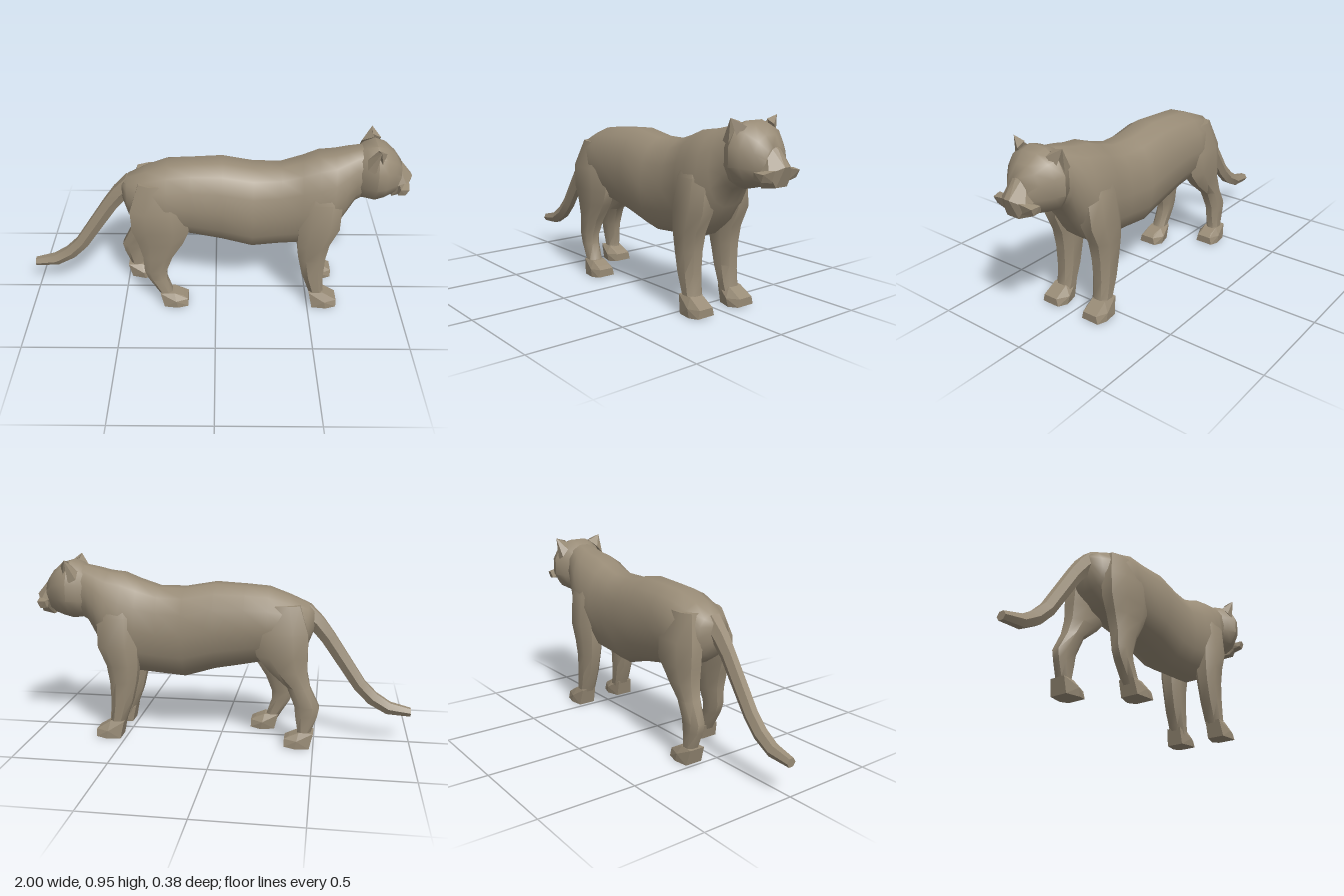
import * as THREE from 'three';
import { toCreasedNormals } from 'three/addons/utils/BufferGeometryUtils.js';
import { ConvexGeometry } from 'three/addons/geometries/ConvexGeometry.js';

const fur = new THREE.MeshStandardMaterial({ color: 0x988b76 });
fur.name = 'tawnyFur';

// Skin through rings; each ring is { c: centre, u, v: half-axes } with u x v along the path
function loft(rings, sides, power = 1) {
  const pos = [], idx = [];
  const bend = (t) => Math.sign(t) * Math.pow(Math.abs(t), power);
  for (const { c, u, v } of rings) {
    for (let j = 0; j < sides; j++) {
      const a = ((j + 0.5) / sides) * Math.PI * 2;
      const p = c.clone().addScaledVector(u, bend(Math.cos(a))).addScaledVector(v, bend(Math.sin(a)));
      pos.push(p.x, p.y, p.z);
    }
  }
  const last = rings.length - 1;
  for (let i = 0; i < last; i++) {
    for (let j = 0; j < sides; j++) {
      const k = (j + 1) % sides, a = i * sides, d = a + sides;
      idx.push(a + j, a + k, d + k, a + j, d + k, d + j);
    }
  }
  for (let j = 1; j < sides - 1; j++) {
    idx.push(0, j + 1, j, last * sides, last * sides + j, last * sides + j + 1);
  }
  const geo = new THREE.BufferGeometry();
  geo.setAttribute('position', new THREE.Float32BufferAttribute(pos, 3));
  geo.setIndex(idx);
  return toCreasedNormals(geo, 0.75);
}

const V = (x, y, z) => new THREE.Vector3(x, y, z);

// Sections along x: [x, top, bottom, half width]
const alongX = (rows, sides, power) => loft(rows.map(([x, t, b, w]) => (
  { c: V(x, (t + b) / 2, 0), u: V(0, (t - b) / 2, 0), v: V(0, 0, w) })), sides, power);

// Sections going down: [y, back x, front x, inner z, outer z]
const downY = (rows, side) => loft(rows.map(([y, x0, x1, z0, z1]) => (
  { c: V((x0 + x1) / 2, y, side * (z0 + z1) / 2), u: V((x1 - x0) / 2, 0, 0), v: V(0, 0, (z1 - z0) / 2) })), 8, 0.85);

const hull = (points, side = 1) => new ConvexGeometry(points.map(([x, y, z]) => V(x, y, z * side)));

export function createModel() {
  const model = new THREE.Group();
  const add = (name, geo) => {
    const mesh = new THREE.Mesh(geo, fur);
    mesh.name = name;
    model.add(mesh);
  };

  // Trunk from rump to neck
  add('body', alongX([
    [-0.485, 0.71, 0.60, 0.04], [-0.455, 0.74, 0.52, 0.095], [-0.36, 0.78, 0.46, 0.145],
    [-0.25, 0.82, 0.43, 0.168], [-0.13, 0.83, 0.405, 0.158], [0.03, 0.838, 0.375, 0.172],
    [0.19, 0.81, 0.325, 0.165], [0.33, 0.81, 0.335, 0.15], [0.44, 0.845, 0.345, 0.16],
    [0.52, 0.877, 0.355, 0.172], [0.60, 0.885, 0.42, 0.165], [0.66, 0.90, 0.52, 0.14],
    [0.71, 0.91, 0.61, 0.115], [0.78, 0.92, 0.65, 0.10],
  ], 14, 0.9));

  // Skull, then a faceted muzzle with flared lips
  add('head', alongX([
    [0.70, 0.89, 0.65, 0.09], [0.75, 0.925, 0.63, 0.13], [0.80, 0.94, 0.628, 0.16],
    [0.85, 0.925, 0.64, 0.145], [0.90, 0.882, 0.655, 0.10], [0.935, 0.835, 0.67, 0.065],
  ], 12, 0.9));
  add('muzzle', hull([
    [0.90, 0.86, 0.03], [0.90, 0.86, -0.03], [0.945, 0.82, 0], [1.0, 0.75, 0.015], [1.0, 0.75, -0.015],
    [0.965, 0.725, 0.075], [0.965, 0.725, -0.075], [0.97, 0.66, 0.035], [0.97, 0.66, -0.035],
    [0.90, 0.65, 0.05], [0.90, 0.65, -0.05], [0.90, 0.73, 0.08], [0.90, 0.73, -0.08],
  ]));

  for (const side of [1, -1]) {
    const s = side > 0 ? 'left' : 'right';
    add(s + 'Lip', hull([
      [0.985, 0.745, 0.01], [0.925, 0.73, 0.125], [0.97, 0.725, 0.115], [0.915, 0.695, 0.115],
      [0.955, 0.69, 0.11], [0.93, 0.73, 0.03], [0.965, 0.68, 0.04], [0.93, 0.69, 0.04],
    ], side));

    // Ear: an upright shell with two walls around a hollow that faces forward
    add(s + 'EarBack', hull([
      [0.80, 0.952, 0.145], [0.745, 0.89, 0.10], [0.80, 0.925, 0.07], [0.745, 0.85, 0.135],
      [0.785, 0.83, 0.14], [0.80, 0.90, 0.10],
    ], side));
    add(s + 'EarInnerWall', hull([
      [0.80, 0.952, 0.145], [0.795, 0.935, 0.085], [0.84, 0.915, 0.085], [0.82, 0.86, 0.12], [0.80, 0.88, 0.10],
    ], side));

    // Front leg and paw
    add(s + 'FrontLeg', downY([
      [0.78, 0.47, 0.58, 0.03, 0.125], [0.66, 0.43, 0.65, 0.03, 0.175], [0.50, 0.42, 0.645, 0.04, 0.19],
      [0.40, 0.42, 0.60, 0.045, 0.186], [0.31, 0.433, 0.585, 0.055, 0.178], [0.20, 0.46, 0.58, 0.062, 0.174],
      [0.11, 0.495, 0.583, 0.068, 0.17], [0.04, 0.52, 0.60, 0.075, 0.17],
    ], side));

    // Hind leg: the left one steps forward, the right one trails
    add(s + 'HindLeg', downY(side > 0 ? [
      [0.74, -0.40, -0.18, 0.03, 0.13], [0.60, -0.45, -0.14, 0.03, 0.178], [0.48, -0.445, -0.13, 0.04, 0.178],
      [0.40, -0.415, -0.165, 0.05, 0.17], [0.31, -0.39, -0.225, 0.06, 0.168], [0.22, -0.385, -0.26, 0.075, 0.165],
      [0.17, -0.365, -0.26, 0.08, 0.165], [0.09, -0.315, -0.235, 0.085, 0.168], [0.03, -0.28, -0.21, 0.085, 0.17],
    ] : [
      [0.74, -0.42, -0.20, 0.03, 0.13], [0.60, -0.468, -0.16, 0.03, 0.175], [0.48, -0.468, -0.19, 0.04, 0.178],
      [0.40, -0.465, -0.26, 0.05, 0.172], [0.32, -0.48, -0.355, 0.065, 0.17], [0.22, -0.53, -0.395, 0.08, 0.17],
      [0.17, -0.52, -0.40, 0.085, 0.168], [0.09, -0.49, -0.415, 0.09, 0.168], [0.03, -0.47, -0.40, 0.09, 0.17],
    ], side));

    const paw = (name, x, lift) => add(name, hull([
      [x - 0.075, 0.003, 0.085], [x - 0.075, 0.003, 0.18], [x - 0.095, lift, 0.085], [x - 0.095, lift, 0.17],
      [x, 0.003, 0.065], [x, 0.003, 0.19], [x + 0.055, 0.01, 0.08], [x + 0.055, 0.01, 0.18],
      [x + 0.055, 0.05, 0.09], [x + 0.055, 0.05, 0.17], [x + 0.03, 0.065, 0.10], [x + 0.03, 0.065, 0.16],
      [x - 0.02, lift, 0.09], [x - 0.02, lift, 0.165], [x - 0.01, 0.045, 0.06], [x - 0.01, 0.045, 0.19],
    ], side));
    paw(s + 'FrontPaw', 0.60, 0.095);
    paw(s + 'HindPaw', side > 0 ? -0.205 : -0.405, 0.085);
  }

  // Tail sweeping down and back: [x, y, z, half height, half width]
  const tail = [
    [-0.43, 0.70, 0, 0.055, 0.05], [-0.50, 0.635, 0, 0.05, 0.042], [-0.56, 0.56, 0, 0.045, 0.034],
    [-0.73, 0.31, 0, 0.04, 0.034], [-0.80, 0.24, -0.003, 0.04, 0.034], [-0.885, 0.19, -0.005, 0.036, 0.034],
    [-1.0, 0.172, -0.005, 0.024, 0.026],
  ];
  add('tail', loft(tail.map(([x, y, z, h, w], i) => {
    const a = tail[Math.max(i - 1, 0)], b = tail[Math.min(i + 1, tail.length - 1)];
    const dir = i === tail.length - 1 ? V(-1, 0, 0) : V(b[0] - a[0], b[1] - a[1], 0).normalize();
    const v = V(0, 0, -w);
    return { c: V(x, y, z), u: V(0, 0, -1).cross(dir).multiplyScalar(h), v };
  }), 6));

  return model;
}
